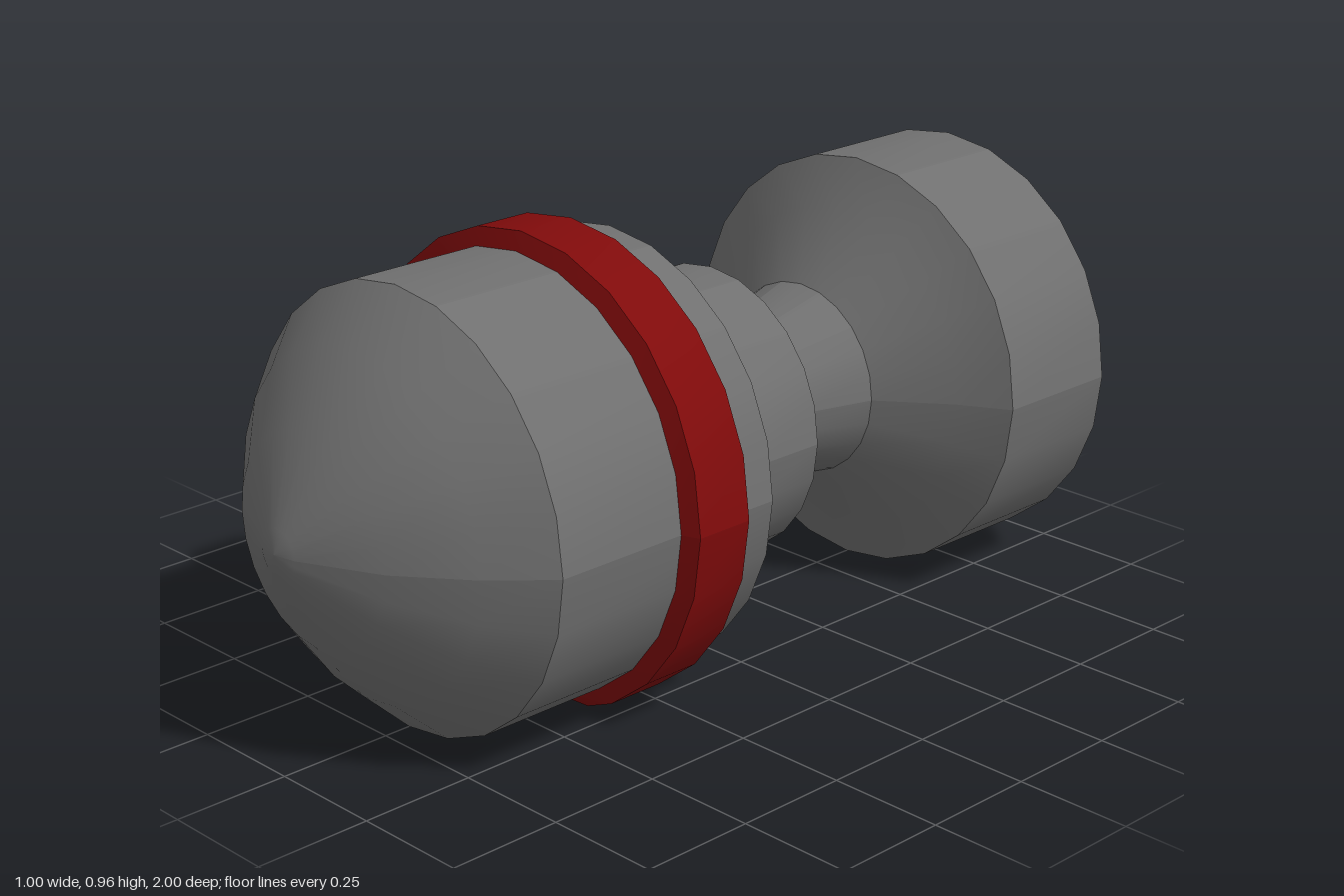
import * as THREE from 'three';
import { mergeGeometries } from 'three/addons/utils/BufferGeometryUtils.js';

const RADIUS = 0.462; // body radius, also the height of the axis
const STEP = 15; // degrees per side, 24 sides

// Angles (0 = bottom, 180 = top) at which the surface has a hard lengthwise edge
const HALVES = [90, 270, 450];
const PANELS = [90, 135, 165, 195, 225, 270, 450];

// One band turned round the z axis from [radius, z] points, back to front
function band(points, edges) {
  const profile = points.map(([r, z]) => new THREE.Vector2(r, z));
  const parts = [];
  for (let i = 0; i + 1 < edges.length; i++) {
    const span = edges[i + 1] - edges[i];
    const part = new THREE.LatheGeometry(profile, span / STEP,
      THREE.MathUtils.degToRad(edges[i]), THREE.MathUtils.degToRad(span));
    part.rotateX(Math.PI / 2);
    parts.push(part);
  }
  return parts;
}

// Trim a band level with the ground
function flattenBottom(geometry) {
  const p = geometry.attributes.position;
  for (let i = 0; i < p.count; i++) {
    if (p.getY(i) < -RADIUS - 1e-4) {
      p.setY(i, -RADIUS);
      if (Math.abs(p.getX(i)) > 0.05) p.setX(i, Math.sign(p.getX(i)) * 0.18);
    }
  }
}

function turned(name, bands, material, trim = false) {
  const parts = bands.flatMap(([points, edges]) => band(points, edges));
  for (const part of parts) {
    if (trim) flattenBottom(part);
    part.computeVertexNormals();
  }
  const mesh = new THREE.Mesh(mergeGeometries(parts), material);
  mesh.name = name;
  mesh.position.y = RADIUS;
  return mesh;
}

export function createModel() {
  const grey = new THREE.MeshStandardMaterial({ color: 0x707070 });
  grey.name = 'dark grey';
  const red = new THREE.MeshStandardMaterial({ color: 0x800b0b });
  red.name = 'deep red';

  const model = new THREE.Group();
  model.name = 'turnedPlug';
  model.add(
    // Rear drum with a shallow end face
    turned('rearDrum', [
      [[[0, -1], [0.24, -1]], HALVES],
      [[[0.24, -1], [0.4, -0.975]], HALVES],
      [[[0.4, -0.975], [RADIUS, -0.905]], HALVES],
      [[[RADIUS, -0.905], [RADIUS, -0.6]], PANELS],
    ], grey),
    // Flared neck
    turned('neck', [
      [[[RADIUS, -0.6], [0.355, -0.54], [0.213, -0.43]], HALVES],
      [[[0.213, -0.43], [0.16, -0.245]], PANELS],
    ], grey),
    // Stepped collar
    turned('collar', [
      [[[0.16, -0.245], [0.312, -0.155]], HALVES],
      [[[0.312, -0.155], [0.312, 0.015]], PANELS],
      [[[0.312, 0.015], [RADIUS, 0.135]], HALVES],
    ], grey),
    // Front drum and rounded nose
    turned('frontDrum', [[[[RADIUS, 0.135], [RADIUS, 0.69]], PANELS]], grey),
    turned('nose', [
      [[[RADIUS, 0.69], [0.36, 0.8], [0.22, 0.91], [0.05, 0.99], [0, 1]], HALVES],
    ], grey),
    // Raised ring with bevelled edges
    turned('ring', [
      [[[RADIUS, 0.225], [0.5, 0.24]], HALVES],
      [[[0.5, 0.24], [0.5, 0.372]], HALVES],
      [[[0.5, 0.372], [RADIUS, 0.386]], HALVES],
    ], red, true),
  );
  return model;
}
